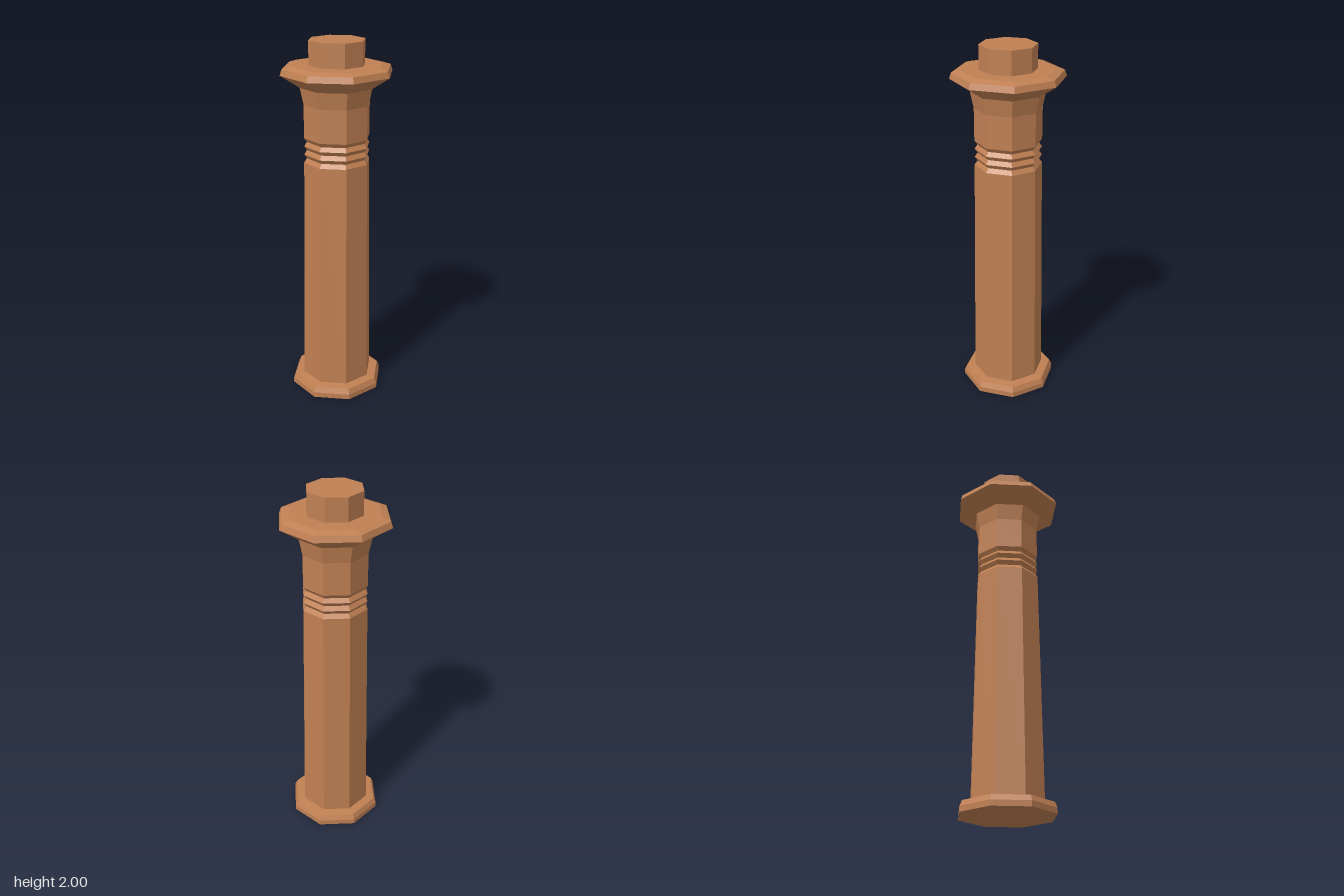
import * as THREE from 'three';

// Faceted eight-sided turning; profile is [radius, height] from bottom to top
function turned(name, profile, material) {
  const points = profile.map(([r, y]) => new THREE.Vector2(r, y));
  const geometry = new THREE.LatheGeometry(points, 8).toNonIndexed();
  geometry.computeVertexNormals();
  const mesh = new THREE.Mesh(geometry, material);
  mesh.name = name;
  return mesh;
}

export function createModel() {
  const clay = new THREE.MeshStandardMaterial({ color: 0xc08053 });
  clay.name = 'terracotta';

  const column = new THREE.Group();
  column.name = 'column';

  // Bevelled foot slab
  column.add(turned('base', [
    [0, 0], [0.264, 0], [0.264, 0.03], [0.25, 0.06], [0.2, 0.066],
  ], clay));

  // Tapering shaft
  column.add(turned('shaft', [[0.2, 0.066], [0.182, 1.355]], clay));

  // Three V-shaped grooves
  const grooves = [[0.182, 1.355]];
  for (let i = 0; i < 3; i++) {
    const y = 1.355 + i * 0.045;
    grooves.push([0.165, y + 0.023], [0.181, y + 0.045]);
  }
  column.add(turned('grooves', grooves, clay));

  // Upper shaft flaring towards the capital
  column.add(turned('neck', [[0.181, 1.49], [0.181, 1.67], [0.2, 1.76]], clay));

  // Wide capital with a bevelled rim
  column.add(turned('capital', [
    [0.2, 1.76], [0.304, 1.828], [0.293, 1.86], [0.25, 1.873], [0.152, 1.873],
  ], clay));

  // Plug on top
  column.add(turned('plug', [[0.152, 1.873], [0.152, 2], [0, 2]], clay));

  return column;
}
